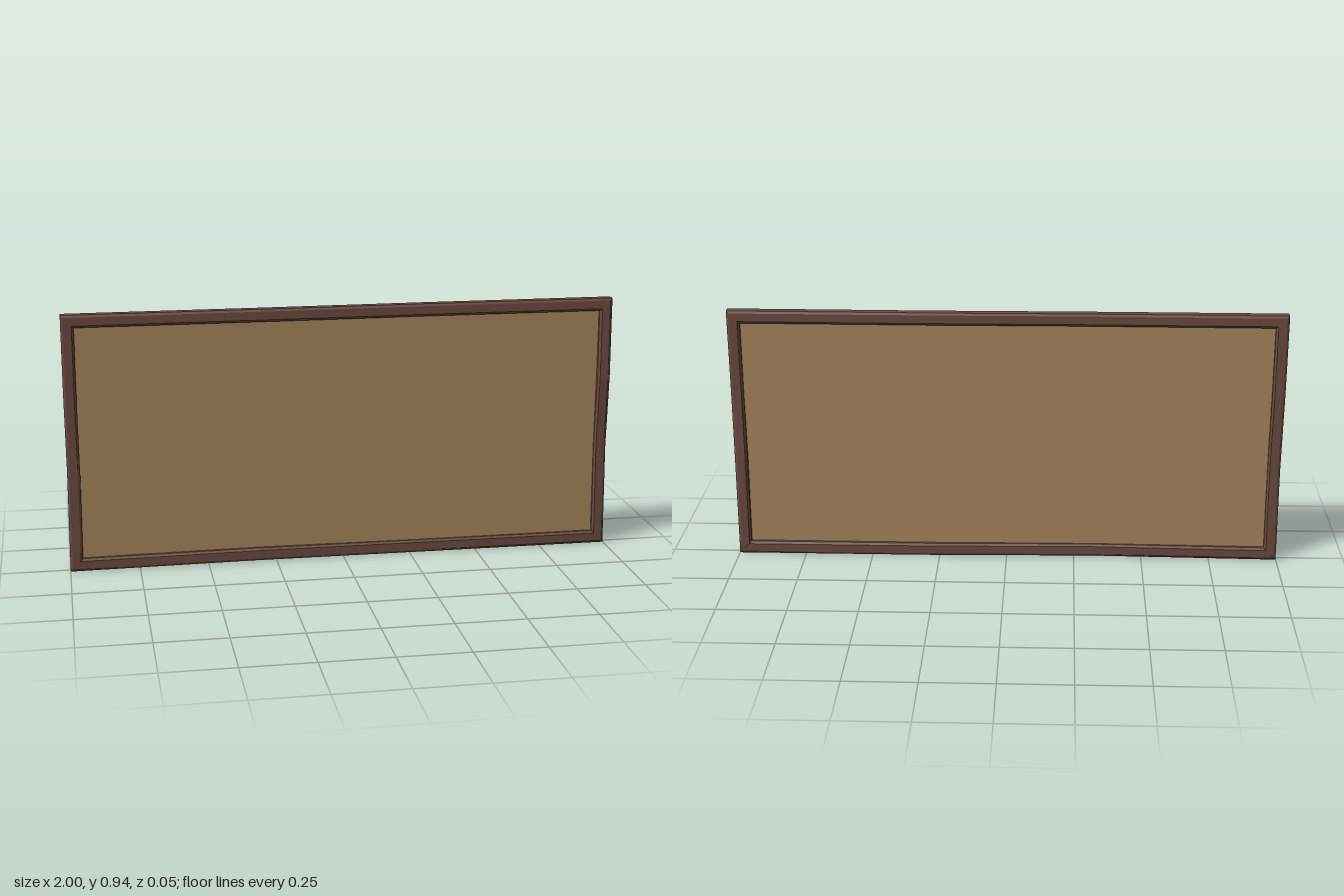
import * as THREE from 'three';

const W = 2, H = 0.94, RAIL = 0.046;

// Chamfered rail section: [distance in from the outer edge, z]
const SECTION = [
  [0, 0.016], [0, -0.016], [0.008, -0.021], [0.038, -0.021],
  [RAIL, -0.014], [RAIL, 0.014], [0.038, 0.021], [0.008, 0.021],
];

// Mitred rail along x, growing inward along +y; stations are [t, inward shift, z shift, depth scale]
function railGeometry(length, stations) {
  const rings = stations.map(([t, du, dz, s]) => SECTION.map(([u, z]) =>
    [(t - 0.5) * (length - 2 * u), u + du, z * s + dz]));
  const positions = [];
  for (let r = 0; r < rings.length - 1; r++) {
    for (let i = 0; i < SECTION.length; i++) {
      const j = (i + 1) % SECTION.length;
      const a = rings[r][i], b = rings[r][j], c = rings[r + 1][j], d = rings[r + 1][i];
      positions.push(...a, ...b, ...c, ...a, ...c, ...d);
    }
  }
  const geometry = new THREE.BufferGeometry();
  geometry.setAttribute('position', new THREE.Float32BufferAttribute(positions, 3));
  geometry.computeVertexNormals();
  return geometry;
}

export function createModel() {
  const group = new THREE.Group();
  const wood = new THREE.MeshStandardMaterial({ color: 0x6d4c41, flatShading: true, side: THREE.DoubleSide });
  const board = new THREE.MeshStandardMaterial({ color: 0xaa885e });

  // Four hand-hewn rails, each slightly warped along its length
  const rails = [
    ['bottomRail', W, 0, 0, [[0, 0, 0, 1.1], [0.34, 0.004, 0.003, 0.95], [0.65, 0, -0.002, 0.95], [1, 0, 0, 1.1]]],
    ['leftRail', H, W / 2, 1, [[0, 0, 0, 1], [0.4, 0.002, -0.005, 0.9], [0.69, 0, 0.006, 0.95], [1, 0, 0, 1]]],
    ['topRail', W, 0, 2, [[0, 0, 0, 1], [0.35, 0, -0.003, 0.95], [0.65, 0, 0.002, 0.95], [1, 0, 0, 1]]],
    ['rightRail', H, -W / 2, 3, [[0, 0, 0, 1], [0.3, 0, -0.002, 0.95], [0.62, 0.002, 0.003, 0.9], [1, 0, 0, 1]]],
  ];
  for (const [name, length, x, quarter, stations] of rails) {
    const rail = new THREE.Mesh(railGeometry(length, stations), wood);
    rail.name = name;
    rail.rotation.z = quarter * Math.PI / 2;
    rail.position.set(x, quarter === 0 ? 0 : quarter === 2 ? H : H / 2, 0);
    group.add(rail);
  }

  // Thin board recessed on both faces
  const panel = new THREE.Mesh(new THREE.BoxGeometry(W - RAIL * 1.4, H - RAIL * 1.4, 0.01), board);
  panel.name = 'panel';
  panel.position.y = H / 2;
  group.add(panel);

  return group;
}
